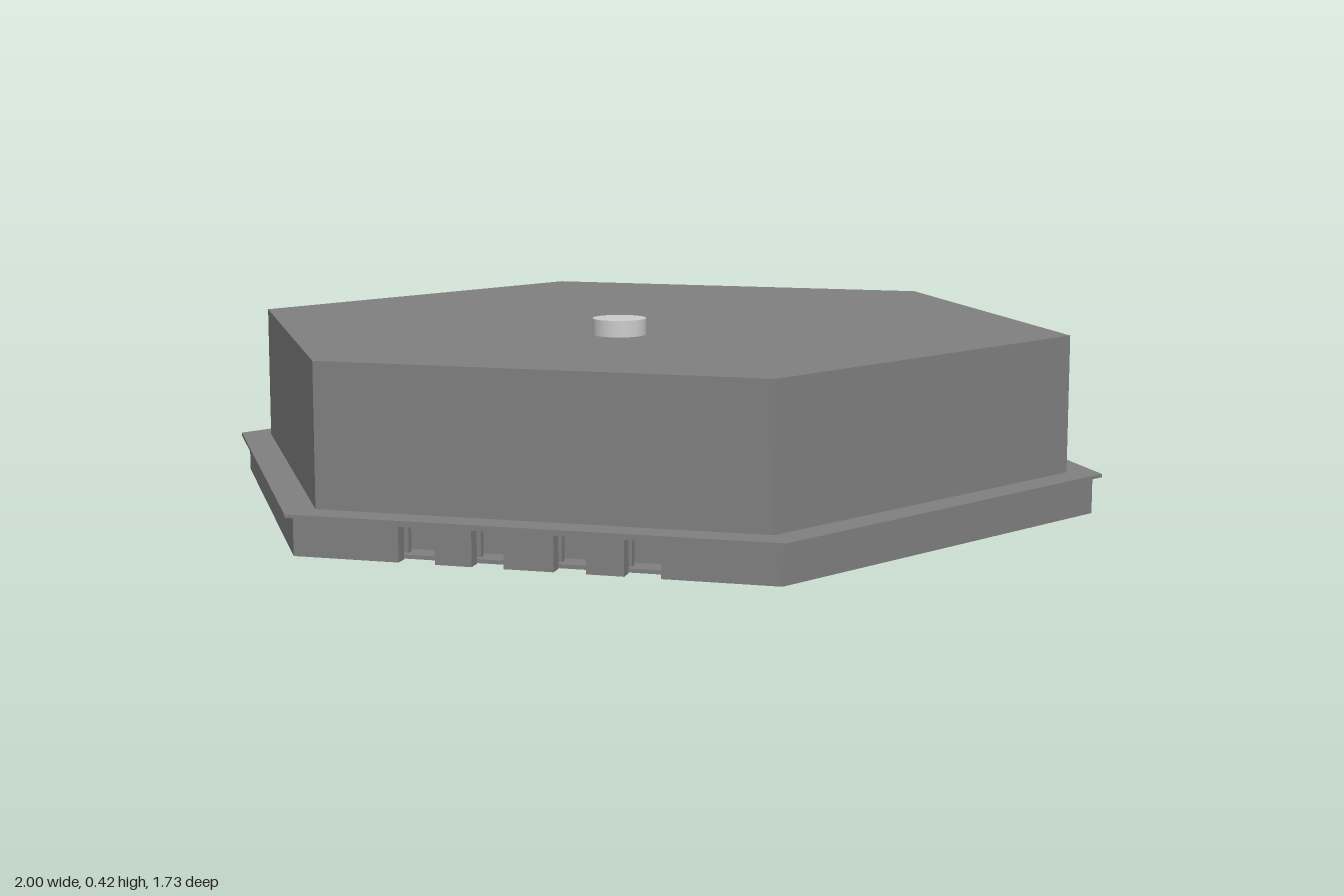
import * as THREE from 'three';

const housingMat = new THREE.MeshStandardMaterial({ color: 0x808080, flatShading: true });
const pinMat = new THREE.MeshStandardMaterial({ color: 0xcccccc });

// Hexagon corners [x, z] with points on the x axis; corners 4 and 5 are at the front
const hexPoints = (r) => Array.from({ length: 6 }, (_, i) => {
  const a = (i * Math.PI) / 3;
  return [r * Math.cos(a), -r * Math.sin(a)];
});
const toVectors = (pts) => pts.map(([x, z]) => new THREE.Vector2(x, -z));

// Prism standing on the ground plan given as [x, z] points
function prism(name, outline, y0, y1, hole) {
  const shape = new THREE.Shape(toVectors(outline));
  if (hole) shape.holes.push(new THREE.Path(toVectors(hole)));
  const geo = new THREE.ExtrudeGeometry(shape, { depth: y1 - y0, bevelEnabled: false });
  geo.rotateX(-Math.PI / 2).translate(0, y0, 0);
  const mesh = new THREE.Mesh(geo, housingMat);
  mesh.name = name;
  return mesh;
}
const hexRing = (name, ro, ri, y0, y1) => prism(name, hexPoints(ro), y0, y1, hexPoints(ri));

// Hexagonal wall with four slots through its front, closed above the slots
function slottedWall(name, ro, ri, y0, ySlot, y1) {
  const group = new THREE.Group();
  group.name = name;
  const outer = hexPoints(ro), inner = hexPoints(ri);
  const zo = outer[5][1], zi = inner[5][1];
  const around = [5, 0, 1, 2, 3, 4];
  const slotLeft = 0.257, slotRight = -0.27;
  group.add(prism(name + 'Sides', [
    [slotLeft, zo], ...around.map((i) => outer[i]), [slotRight, zo],
    [slotRight, zi], ...around.map((i) => inner[i]).reverse(), [slotLeft, zi],
  ], y0, ySlot));
  group.add(hexRing(name + 'UpperBand', ro, ri, ySlot, y1));
  for (const [a, b] of [[-0.195, -0.12], [-0.055, 0.045], [0.11, 0.185]]) {
    group.add(prism(name + 'Tab', [[a, zo], [b, zo], [b, zi], [a, zi]], y0, ySlot));
  }
  return group;
}

export function createModel() {
  const model = new THREE.Group();
  model.name = 'hexagonalHousing';

  // Upper cover, open underneath
  const cover = new THREE.Group();
  cover.name = 'cover';
  cover.add(hexRing('coverWall', 0.925, 0.912, 0.085, 0.378));
  cover.add(prism('coverTop', hexPoints(0.925), 0.378, 0.385));
  cover.add(hexRing('flange', 1.0, 0.905, 0.083, 0.09));
  model.add(cover);

  // Skirt below the flange and the lining inside it
  model.add(slottedWall('skirt', 0.98, 0.945, 0.004, 0.075, 0.083));
  model.add(slottedWall('lining', 0.918, 0.9, 0.012, 0.075, 0.147));

  // Sector-shaped compartment at the front: two plates with a core between
  const sector = (s) => [
    [0, 0.1], [0.69 * s, 0.4 * s], [0.46 * s, 0.8 * s],
    [-0.46 * s, 0.8 * s], [-0.69 * s, 0.4 * s],
  ];
  const compartment = new THREE.Group();
  compartment.name = 'frontCompartment';
  compartment.add(prism('basePlate', sector(1.015), 0.004, 0.012));
  compartment.add(prism('upperPlate', sector(0.97), 0.147, 0.155));
  compartment.add(prism('compartmentCore', [
    [0.36, 0.36], [0.56, 0.57], [0.44, 0.76],
    [-0.44, 0.76], [-0.56, 0.57], [-0.36, 0.36],
  ], 0.012, 0.147));
  model.add(compartment);

  // Pin passing through the plates and the cover
  const pin = new THREE.Mesh(new THREE.CylinderGeometry(0.057, 0.057, 0.42, 40), pinMat);
  pin.name = 'pin';
  pin.position.set(-0.003, 0.21, 0.235);
  model.add(pin);

  return model;
}
